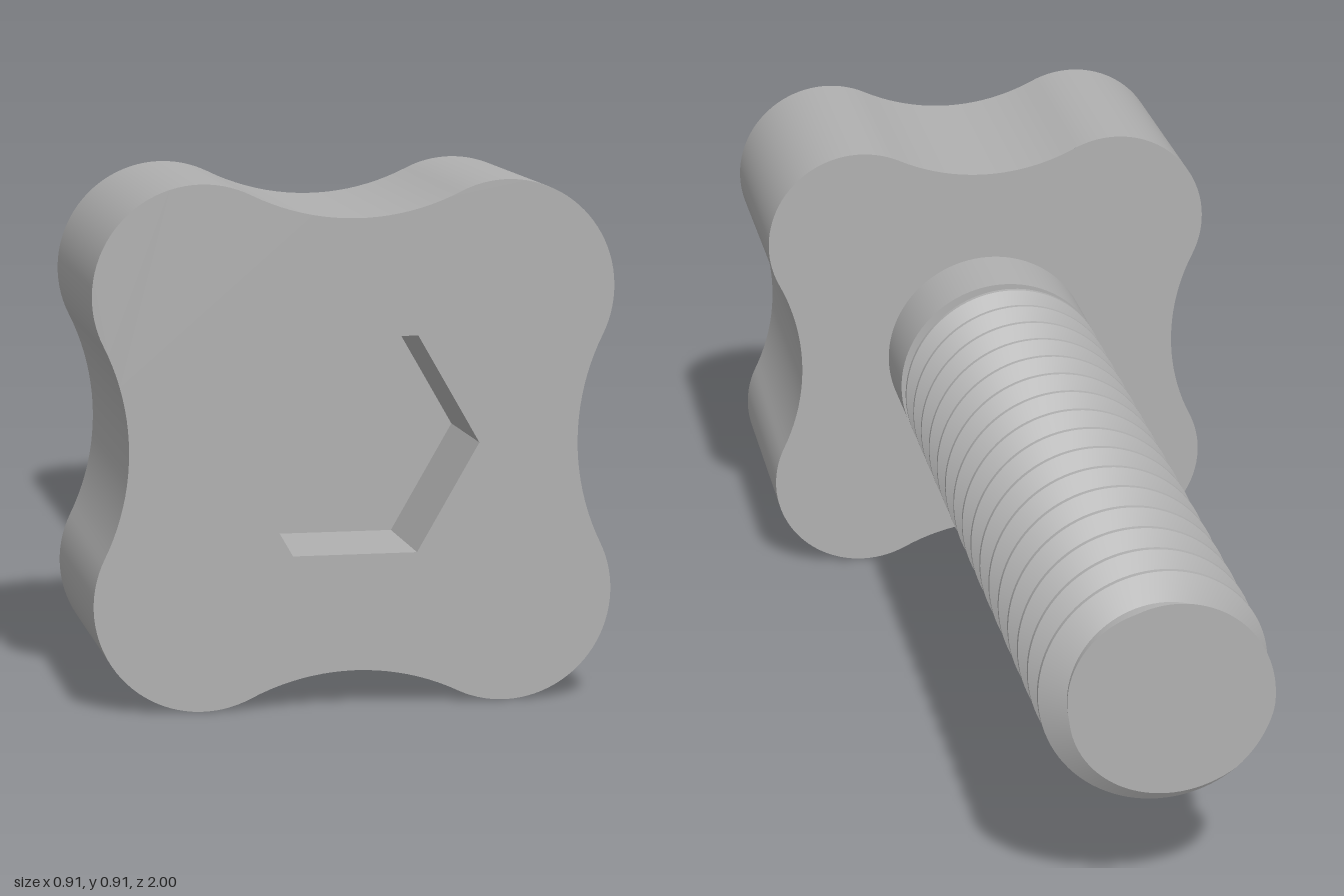
import * as THREE from 'three';
import { mergeGeometries, toCreasedNormals } from 'three/addons/utils/BufferGeometryUtils.js';

const HEAD_FRONT = 1, HEAD_BACK = 0.565, POCKET_FLOOR = 0.79;
const THREAD_START = 0.41, THREAD_END = -1;
const RADIUS = 0.21, ROOT = 0.165, PITCH = 0.088;

// Non-indexed geometry from a flat list of triangle corners
function fromCorners(corners) {
  const geometry = new THREE.BufferGeometry();
  geometry.setAttribute('position', new THREE.Float32BufferAttribute(corners.flat(), 3));
  return geometry;
}

// Straight wall along z around a closed counter-clockwise outline
function wall(points, z0, z1, inward = false) {
  const corners = [];
  points.forEach((p, i) => {
    let a = p, b = points[(i + 1) % points.length];
    if (inward) [a, b] = [b, a];
    corners.push([a.x, a.y, z0], [b.x, b.y, z0], [b.x, b.y, z1]);
    corners.push([a.x, a.y, z0], [b.x, b.y, z1], [a.x, a.y, z1]);
  });
  return fromCorners(corners);
}

// Flat face at a given z, optionally facing backwards
function face(shape, z, backward = false) {
  const flat = new THREE.ShapeGeometry(shape);
  if (backward) flat.rotateY(Math.PI);
  flat.translate(0, 0, z);
  const geometry = flat.toNonIndexed();
  geometry.deleteAttribute('uv');
  geometry.deleteAttribute('normal');
  return geometry;
}

// Four round lobes joined by tangent hollow arcs
function knobOutline() {
  const c = 0.265, lobeR = 0.188, hollowR = 0.41, hollowY = 0.801;
  const join = Math.atan2(hollowY - c, -c);
  const points = [];
  const arc = (x, y, r, from, to, steps, turn) => {
    for (let i = 0; i < steps; i++) {
      const a = from + (to - from) * i / steps;
      points.push(new THREE.Vector2(x + r * Math.cos(a), y + r * Math.sin(a))
        .rotateAround(new THREE.Vector2(), turn));
    }
  };
  for (let k = 0; k < 4; k++) {
    const turn = k * Math.PI / 2;
    arc(c, c, lobeR, Math.PI / 2 - join, join, 36, turn);
    arc(0, hollowY, hollowR, join - Math.PI, -join, 20, turn);
  }
  return points;
}

function knobGeometry() {
  const outline = knobOutline();
  const hexagon = Array.from({ length: 6 }, (_, i) => new THREE.Vector2(
    0.217 * Math.cos(i * Math.PI / 3), 0.217 * Math.sin(i * Math.PI / 3)));
  const front = new THREE.Shape(outline);
  front.holes.push(new THREE.Path(hexagon));
  return toCreasedNormals(mergeGeometries([
    wall(outline, HEAD_BACK, HEAD_FRONT),
    face(front, HEAD_FRONT),
    face(new THREE.Shape(outline), HEAD_BACK, true),
    wall(hexagon, POCKET_FLOOR, HEAD_FRONT, true),
    face(new THREE.Shape(hexagon), POCKET_FLOOR),
  ]), 0.5);
}

// Thread profile over one pitch: crest, flank, root, flank
const PROFILE = [[0, RADIUS], [0.1, RADIUS], [0.43, ROOT], [0.67, ROOT], [1, RADIUS]];

function threadRadius(z, angle) {
  const t = z / PITCH - angle / (2 * Math.PI);
  const phase = t - Math.floor(t);
  const i = PROFILE.findIndex((p, n) => n > 0 && phase <= p[0]);
  const [t0, r0] = PROFILE[i - 1], [t1, r1] = PROFILE[i];
  return r0 + (r1 - r0) * (phase - t0) / (t1 - t0);
}

// Right-handed helical surface, cut flat at both ends
function threadGeometry() {
  const sides = 96, corners = [];
  const point = (turns, s) => {
    const angle = s / sides * 2 * Math.PI;
    const z = THREE.MathUtils.clamp((turns + s / sides) * PITCH, THREAD_END, THREAD_START);
    const r = threadRadius(z, angle);
    return [r * Math.cos(angle), r * Math.sin(angle), z];
  };
  const addTriangle = (a, b, c) => {
    if (a[2] === b[2] && b[2] === c[2]) return;
    corners.push(a, b, c);
  };
  const first = Math.floor(THREAD_END / PITCH) - 1, last = Math.ceil(THREAD_START / PITCH);
  for (let turn = first; turn <= last; turn++) {
    for (let j = 0; j < PROFILE.length - 1; j++) {
      const lo = turn + PROFILE[j][0], hi = turn + PROFILE[j + 1][0];
      for (let s = 0; s < sides; s++) {
        const a = point(lo, s), b = point(lo, s + 1), c = point(hi, s + 1), d = point(hi, s);
        addTriangle(a, b, c);
        addTriangle(a, c, d);
      }
    }
  }
  return toCreasedNormals(fromCorners(corners), 0.5);
}

// Flat tip that follows the cut thread
function tipGeometry() {
  const sides = 96, points = [];
  for (let s = 0; s < sides; s++) {
    const a = s / sides * 2 * Math.PI, r = threadRadius(THREAD_END, a);
    points.push([r * Math.cos(a), r * Math.sin(a), THREAD_END]);
  }
  const corners = points.flatMap((p, i) => [[0, 0, THREAD_END], points[(i + 1) % sides], p]);
  const geometry = fromCorners(corners);
  geometry.computeVertexNormals();
  return geometry;
}

export function createModel() {
  const model = new THREE.Group();
  model.name = 'knobBolt';
  const grey = new THREE.MeshStandardMaterial({ color: 0xb0b0b0 });
  grey.name = 'grey';

  const add = (name, geometry) => {
    const mesh = new THREE.Mesh(geometry, grey);
    mesh.name = name;
    mesh.position.y = 0.453;
    model.add(mesh);
  };

  add('knobHead', knobGeometry());

  // Plain collar between head and thread
  const collar = new THREE.CylinderGeometry(RADIUS, RADIUS, HEAD_BACK - THREAD_START, 96);
  collar.rotateX(Math.PI / 2).translate(0, 0, (HEAD_BACK + THREAD_START) / 2);
  add('collar', collar);

  add('thread', threadGeometry());
  add('threadTip', tipGeometry());
  return model;
}
